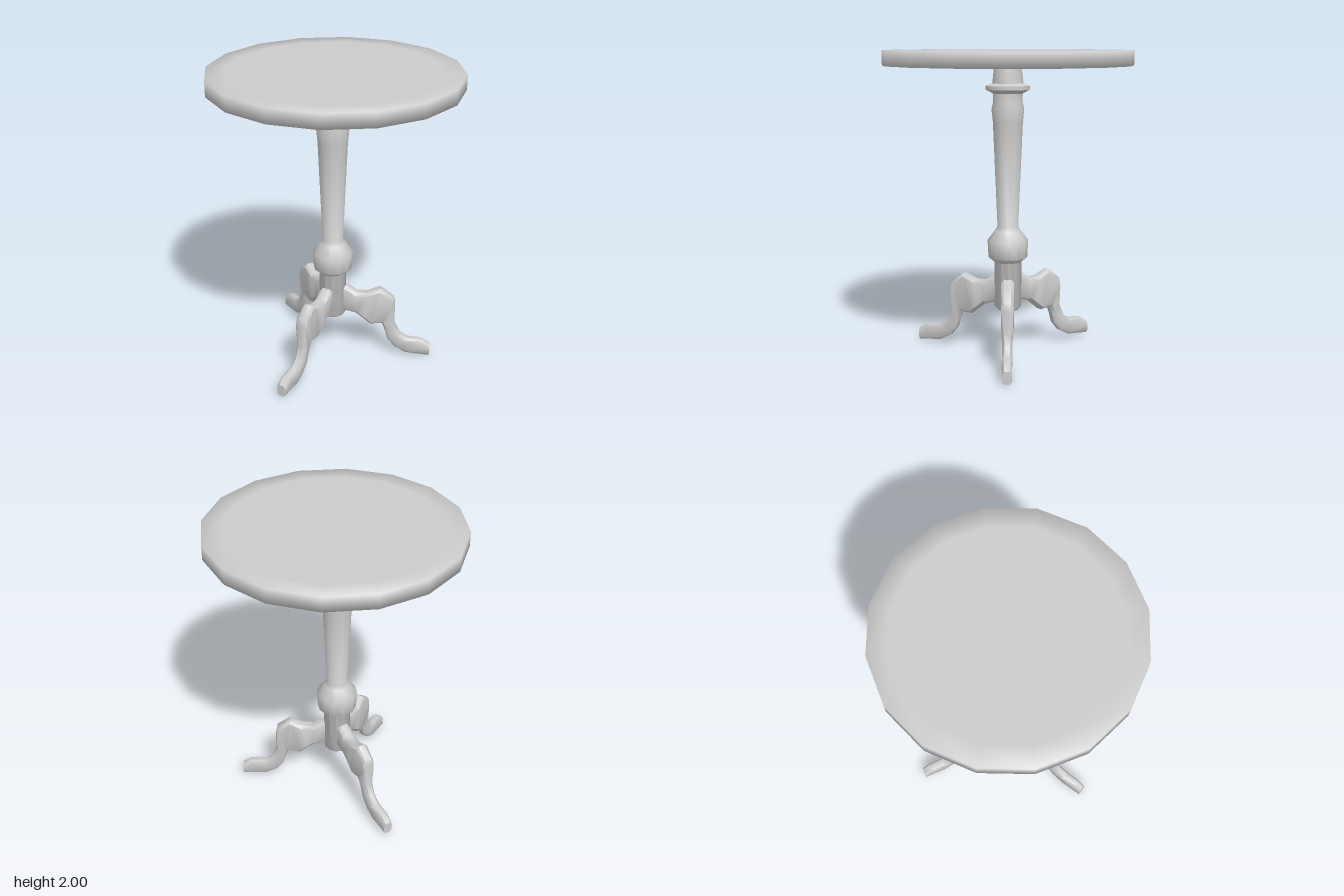
import * as THREE from 'three';
import { toCreasedNormals } from 'three/addons/utils/BufferGeometryUtils.js';

const material = new THREE.MeshStandardMaterial({ color: 0xcccccc });
const COLUMN_X = -0.015;

function turned(name, profile, sides, crease) {
  const points = profile.map(([r, y]) => new THREE.Vector2(r, y));
  let geometry = new THREE.LatheGeometry(points, sides);
  if (crease) geometry = toCreasedNormals(geometry, crease);
  const mesh = new THREE.Mesh(geometry, material);
  mesh.name = name;
  return mesh;
}

// Leg stations from column to toe: upper point, lower point, half thickness
const LEG = [
  [0.03, 0.515, 0.03, 0.335, 0.042],
  [0.10, 0.515, 0.08, 0.335, 0.042],
  [0.165, 0.47, 0.16, 0.315, 0.042],
  [0.235, 0.47, 0.21, 0.275, 0.042],
  [0.322, 0.507, 0.258, 0.235, 0.042],
  [0.412, 0.44, 0.338, 0.243, 0.04],
  [0.422, 0.39, 0.345, 0.225, 0.038],
  [0.422, 0.24, 0.36, 0.18, 0.034],
  [0.459, 0.165, 0.375, 0.122, 0.032],
  [0.512, 0.13, 0.428, 0.06, 0.032],
  [0.613, 0.122, 0.502, 0.02, 0.032],
  [0.665, 0.085, 0.665, 0.003, 0.03],
];

// Chamfered section: position from lower (0) to upper (1), sideways factor
function section([ux, uy, lx, ly, w]) {
  const c = Math.min(0.25, 0.02 / Math.hypot(ux - lx, uy - ly));
  const ring = [[1, 0.55], [1 - c, 1], [c, 1], [0, 0.55], [0, -0.55], [c, -1], [1 - c, -1], [1, -0.55]];
  return ring.map(([t, s]) => [lx + (ux - lx) * t, ly + (uy - ly) * t, s * w]);
}

function legGeometry() {
  const n = 8;
  const positions = LEG.flatMap((station) => section(station).flat());
  const index = [];
  for (let i = 0; i < LEG.length - 1; i++) {
    for (let j = 0; j < n; j++) {
      const a = i * n + j, b = i * n + (j + 1) % n;
      index.push(a, b, a + n, b, b + n, a + n);
    }
  }
  // End caps
  const last = (LEG.length - 1) * n;
  for (let j = 1; j < n - 1; j++) {
    index.push(0, j + 1, j, last, last + j, last + j + 1);
  }
  const geometry = new THREE.BufferGeometry();
  geometry.setAttribute('position', new THREE.Float32BufferAttribute(positions, 3));
  geometry.setIndex(index);
  return toCreasedNormals(geometry, 0.8);
}

export function createModel() {
  const table = new THREE.Group();
  table.name = 'pedestalTable';

  // Sixteen-sided top
  table.add(turned('tableTop', [
    [0, 1.905], [0.72, 1.905], [0.806, 1.905], [0.806, 2], [0.68, 2], [0, 2],
  ], 16, 0));

  // Turned column with collar, long taper and bulb
  const column = turned('column', [
    [0, 0.32], [0.035, 0.32], [0.04, 0.3], [0.075, 0.3], [0.088, 0.315],
    [0.09, 0.62], [0.128, 0.65], [0.134, 0.765], [0.085, 0.83], [0.068, 0.855],
    [0.097, 1.54], [0.106, 1.625], [0.095, 1.67], [0.096, 1.725],
    [0.143, 1.75], [0.143, 1.775], [0.1, 1.79], [0.098, 1.81], [0.088, 1.906],
  ], 12, 0.9);
  column.position.x = COLUMN_X;
  table.add(column);

  // Three curved legs: heading in degrees, lift
  const geometry = legGeometry();
  for (const [name, heading, lift] of [
    ['leftLeg', 0, 0], ['frontRightLeg', 113.8, 0.006], ['backRightLeg', -125.6, 0.02],
  ]) {
    const leg = new THREE.Mesh(geometry, material);
    leg.name = name;
    leg.position.set(COLUMN_X, lift, 0);
    leg.rotation.y = -THREE.MathUtils.degToRad(heading);
    table.add(leg);
  }
  return table;
}
